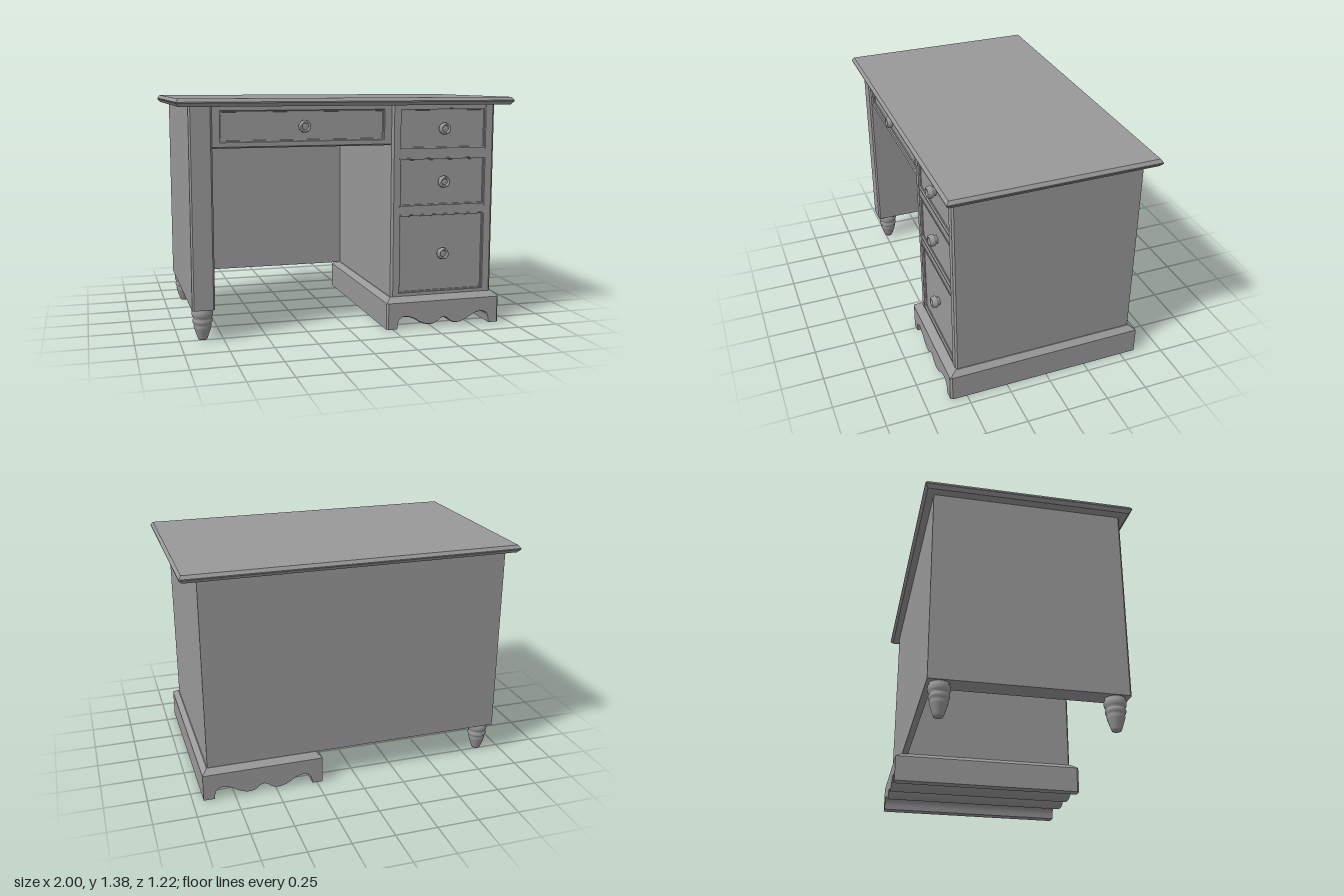
import * as THREE from 'three';

const material = new THREE.MeshStandardMaterial({ color: 0x999999 });
const turnedMaterial = new THREE.MeshStandardMaterial({ color: 0x999999, side: THREE.DoubleSide });

function add(parent, name, geometry, mat = material) {
  const mesh = new THREE.Mesh(geometry, mat);
  mesh.name = name;
  parent.add(mesh);
  return mesh;
}

// Box given by its limits
function box(parent, name, x0, x1, y0, y1, z0, z1) {
  const g = new THREE.BoxGeometry(x1 - x0, y1 - y0, z1 - z0);
  g.translate((x0 + x1) / 2, (y0 + y1) / 2, (z0 + z1) / 2);
  return add(parent, name, g);
}

// Flat-sided skin through rectangles [x0, x1, y0, y1, z], capped at the last one
function rectLoft(rects, capStart = true) {
  const points = [], index = [];
  rects.forEach(([x0, x1, y0, y1, z]) => points.push(x0, y0, z, x1, y0, z, x1, y1, z, x0, y1, z));
  for (let r = 0; r < rects.length - 1; r++) {
    for (let i = 0; i < 4; i++) {
      const a = r * 4 + i, b = r * 4 + (i + 1) % 4;
      index.push(a, b, b + 4, a, b + 4, a + 4);
    }
  }
  const e = (rects.length - 1) * 4;
  index.push(e, e + 1, e + 2, e, e + 2, e + 3);
  if (capStart) index.push(0, 2, 1, 0, 3, 2);
  const g = new THREE.BufferGeometry();
  g.setAttribute('position', new THREE.Float32BufferAttribute(points, 3));
  g.setIndex(index);
  const flat = g.toNonIndexed();
  flat.computeVertexNormals();
  return flat;
}

// Upright panel whose front vertical edges are chamfered
function chamferedPanel(parent, name, x0, x1, y0, y1, z0, z1, c = 0.01, left = c, right = c) {
  const shape = new THREE.Shape([
    [x0, -z1 + c], [x0 + left, -z1], [x1 - right, -z1], [x1, -z1 + c], [x1, -z0], [x0, -z0],
  ].map(([x, y]) => new THREE.Vector2(x, y)));
  const g = new THREE.ExtrudeGeometry(shape, { depth: y1 - y0, bevelEnabled: false });
  g.rotateX(-Math.PI / 2).translate(0, y0, 0);
  return add(parent, name, g);
}

// Sunken drawer front with a sloping moulding
function drawerFront(parent, name, x0, x1, y0, y1, z, depth) {
  const inset = (d, back) => [x0 + d, x1 - d, y0 + d, y1 - d, z - back];
  add(parent, name, rectLoft([inset(0, 0), inset(0.003, depth * 0.5), inset(0.009, depth * 0.6),
    inset(0.01, depth)], false));
}

function lathe(points, segments) {
  return new THREE.LatheGeometry(points.map(([r, y]) => new THREE.Vector2(r, y)), segments);
}

// Round knob with a raised rim around a dished face
function knob(parent, x, y, z) {
  const g = lathe([[0.024, 0], [0.026, 0.014], [0.034, 0.02], [0.036, 0.026], [0.032, 0.046], [0.029, 0.05],
    [0.023, 0.05], [0.02, 0.046], [0.019, 0.038], [0.018, 0.037], [0, 0.039]], 24);
  g.rotateX(Math.PI / 2);
  add(parent, 'knob', g, turnedMaterial).position.set(x, y, z);
}

export function createModel() {
  const desk = new THREE.Group();
  desk.name = 'desk';

  // Top with a moulded edge
  const slab = (d, y) => [-1 + d, 1 - d, -0.61 + d, 0.61 - d, y];
  add(desk, 'top', rectLoft([slab(0.017, 1.33), slab(0, 1.35), slab(0, 1.356), slab(0.014, 1.375)])
    .rotateX(-Math.PI / 2));

  // Left support and back panel
  chamferedPanel(desk, 'sidePanel', -0.93, -0.8, 0.185, 1.335, -0.552, 0.553);
  box(desk, 'backPanel', -0.8, 0.25, 0.185, 1.335, -0.552, -0.515);

  // Wide drawer over the knee space
  const wide = new THREE.Group();
  wide.name = 'wideDrawer';
  desk.add(wide);
  const face = 0.542;
  box(wide, 'drawerBox', -0.8, 0.25, 1.1, 1.335, -0.515, 0.524);
  box(wide, 'lowerRail', -0.8, 0.25, 1.106, 1.13, 0.52, face);
  box(wide, 'upperRail', -0.8, 0.25, 1.307, 1.335, 0.52, face);
  box(wide, 'leftStile', -0.8, -0.757, 1.13, 1.307, 0.52, face);
  box(wide, 'rightStile', 0.207, 0.25, 1.13, 1.307, 0.52, face);
  add(wide, 'lowerEdge', rectLoft([[-0.8, 0.25, 1.096, 1.106, 0.52], [-0.8, 0.25, 1.105, 1.106, face]]));
  drawerFront(wide, 'drawerPanel', -0.757, 0.207, 1.13, 1.307, face, 0.015);
  knob(wide, -0.275, 1.215, face - 0.015);

  // Pedestal carcass, stiles, rails and drawers
  const pedestal = new THREE.Group();
  pedestal.name = 'pedestal';
  desk.add(pedestal);
  box(pedestal, 'carcass', 0.25, 0.9, 0.185, 1.335, -0.552, 0.531);
  chamferedPanel(pedestal, 'leftStile', 0.25, 0.305, 0.185, 1.335, 0.525, 0.552, 0.01, 0.014, 0);
  chamferedPanel(pedestal, 'rightStile', 0.845, 0.9, 0.185, 1.335, 0.525, 0.552, 0.01, 0, 0.012);
  const drawers = [[0.205, 0.678, 0.44], [0.732, 1.015, 0.875], [1.072, 1.308, 1.19]];
  let railBottom = 0.185;
  for (const [y0, y1, knobY] of drawers) {
    box(pedestal, 'rail', 0.305, 0.845, railBottom, y0, 0.525, 0.55);
    drawerFront(pedestal, 'drawerPanel', 0.305, 0.845, y0, y1, 0.55, 0.012);
    for (const y of [y0, y1]) box(pedestal, 'bead', 0.298, 0.848, y - 0.004, y + 0.004, 0.54, 0.555);
    knob(pedestal, 0.575, knobY, 0.536);
    railBottom = y1;
  }
  box(pedestal, 'rail', 0.305, 0.845, railBottom, 1.335, 0.525, 0.55);

  // Plinth with a scalloped underside running front to back
  const mid = 0.575, half = 0.362;
  const scallop = [[0.298, 0], [0.292, 0.035], [0.282, 0.056], [0.255, 0.07], [0.22, 0.067], [0.185, 0.053],
    [0.15, 0.031], [0.11, 0.016], [0.075, 0.014], [0.045, 0.025], [0.02, 0.045], [0, 0.051]];
  const right = new THREE.SplineCurve(scallop.map(([x, y]) => new THREE.Vector2(x, y))).getPoints(44);
  const edge = [...right.map((p) => new THREE.Vector2(mid + p.x, Math.max(0, p.y))),
    ...right.slice(0, -1).reverse().map((p) => new THREE.Vector2(mid - p.x, Math.max(0, p.y)))];
  const outline = new THREE.Shape([new THREE.Vector2(mid + half, 0.16), new THREE.Vector2(mid - half, 0.16),
    new THREE.Vector2(mid - half, 0), ...edge.reverse(), new THREE.Vector2(mid + half, 0)]);
  const plinth = new THREE.ExtrudeGeometry(outline, { depth: 2, steps: 2, bevelEnabled: false });
  // Ease the front corners and the front edge of the scallop
  const pos = plinth.attributes.position;
  for (let i = 0; i < pos.count; i++) {
    const step = Math.round(pos.getZ(i)), x = pos.getX(i), y = pos.getY(i);
    pos.setZ(i, [-0.595, 0.587, 0.6][step]);
    if (step < 2) continue;
    if (Math.abs(x - mid) > half - 0.001) pos.setX(i, x - Math.sign(x - mid) * 0.01);
    else if (y > 0) pos.setY(i, y + 0.006);
  }
  plinth.computeVertexNormals();
  add(desk, 'plinth', plinth);
  add(desk, 'plinthSlope', rectLoft([
    [mid - half, mid + half, -0.598, 0.595, 0.16],
    [0.245, 0.905, -0.557, 0.555, 0.188],
  ]).rotateX(-Math.PI / 2));

  // Turned feet under the left support
  const foot = lathe([[0, 0], [0.025, 0], [0.03, 0.012], [0.048, 0.066], [0.051, 0.08], [0.047, 0.089],
    [0.054, 0.097], [0.058, 0.108], [0.055, 0.12], [0.05, 0.127], [0.058, 0.136], [0.062, 0.15],
    [0.061, 0.168], [0.054, 0.178], [0.057, 0.187]], 28);
  for (const z of [-0.48, 0.477]) add(desk, 'turnedFoot', foot, turnedMaterial).position.set(-0.865, 0, z);

  return desk;
}
